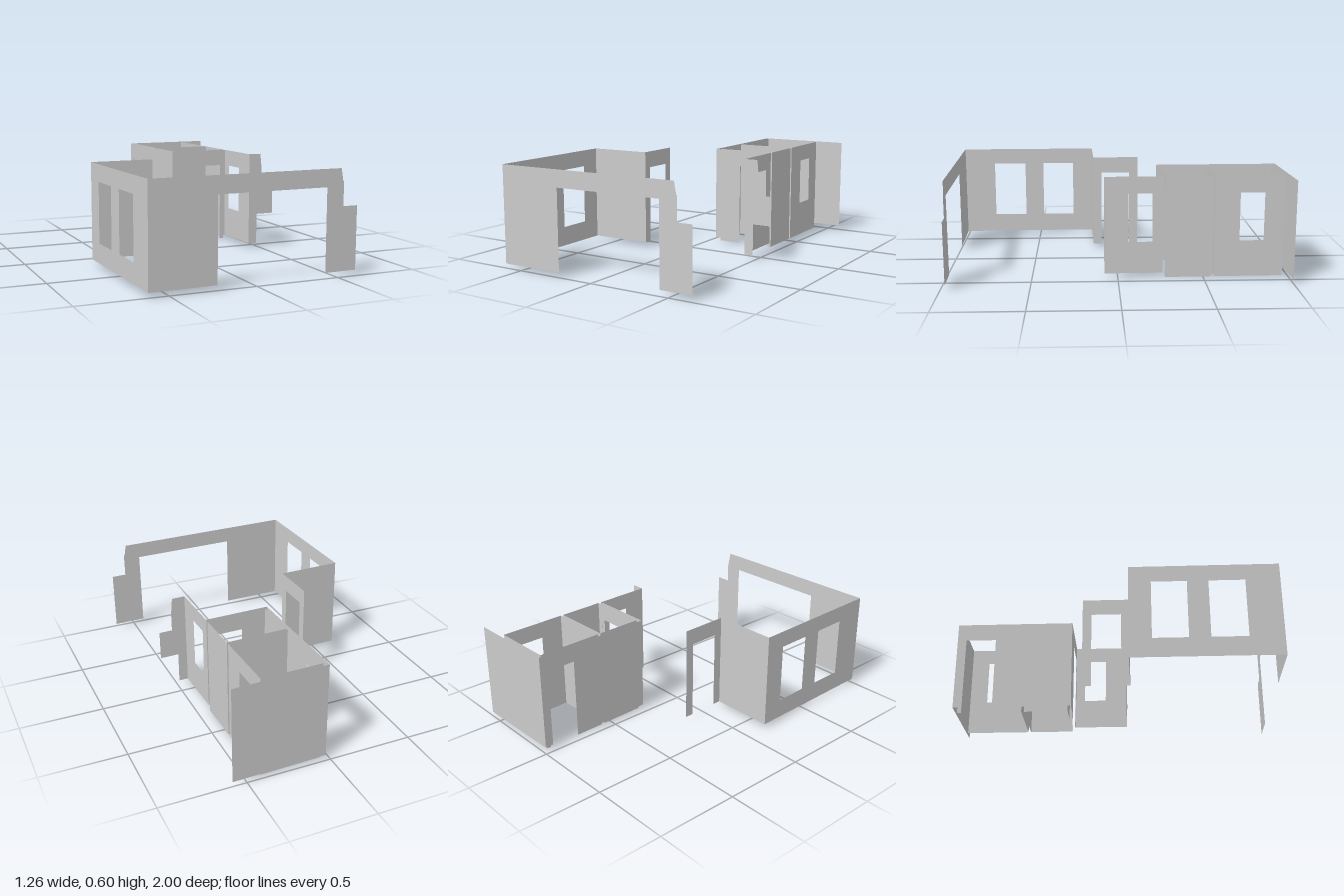
import * as THREE from 'three';

const BASE = 0.027, TOP = 0.6, HEAD = 0.5; // outer wall foot, wall top, door and window head

export function createModel() {
  const model = new THREE.Group();
  model.name = 'housePartitions';
  const material = new THREE.MeshStandardMaterial({ color: 0xcccccc, side: THREE.DoubleSide });

  // Thin panel from an outline; axis 'x' runs across at z = pos, axis 'z' runs deep at x = pos
  function panel(name, axis, pos, outline, windows = []) {
    const shape = new THREE.Shape(outline.map(([a, y]) => new THREE.Vector2(a, y)));
    for (const [a, b, sill] of windows) {
      shape.holes.push(new THREE.Path([[a, sill], [a, HEAD], [b, HEAD], [b, sill]]
        .map(([x, y]) => new THREE.Vector2(x, y))));
    }
    const mesh = new THREE.Mesh(new THREE.ShapeGeometry(shape), material);
    mesh.name = name;
    if (axis === 'x') mesh.position.z = pos;
    else { mesh.rotation.y = -Math.PI / 2; mesh.position.x = pos; }
    model.add(mesh);
  }

  // Rectangular wall with an optional floor-level doorway [from, to]
  function wall(name, axis, pos, from, to, { foot = BASE, door, windows } = {}) {
    const outline = [[from, foot]];
    if (door) outline.push([door[0], foot], [door[0], HEAD], [door[1], HEAD], [door[1], foot]);
    outline.push([to, foot], [to, TOP], [from, TOP]);
    panel(name, axis, pos, outline, windows);
  }

  // Front wall: wide opening and stepped right end
  panel('frontWall', 'x', 0.987, [
    [-0.634, BASE], [-0.247, BASE], [-0.247, HEAD], [0.412, HEAD], [0.412, BASE], [0.609, BASE],
    [0.609, 0.39], [0.519, 0.39], [0.519, 0.53], [0.514, 0.53], [0.501, TOP], [-0.634, TOP],
  ]);

  // Living room side with two tall windows, its rear wall and the hall doorway
  wall('livingRoomSideWall', 'z', -0.634, 0.127, 0.987,
    { windows: [[0.256, 0.46, 0.144], [0.582, 0.79, 0.144]] });
  wall('livingRoomRearWall', 'x', 0.127, -0.634, -0.251);
  wall('hallDoorWall', 'z', -0.251, -0.159, 0.127, { door: [-0.105, 0.075] });

  // Side bay: window wall and the stepped wing at its front end
  wall('bayWindowWall', 'z', 0.429, -0.252, 0.088, { windows: [[-0.191, -0.051, 0.215]] });
  panel('bayWing', 'x', 0.088, [
    [0.429, BASE], [0.485, BASE], [0.485, 0.215], [0.598, 0.215], [0.598, 0.39],
    [0.518, 0.39], [0.518, 0.5], [0.508, TOP], [0.429, TOP],
  ]);

  // Outer skin of the bedroom block
  const frontDoor = [0.206, 0.403], sideDoor = [-0.934, -0.739];
  wall('blockFrontWall', 'x', -0.248, 0.045, 0.429, { door: frontDoor });
  wall('blockSideWall', 'z', 0.045, -0.985, -0.248, { door: sideDoor });
  wall('blockBackWall', 'x', -0.985, 0.045, 0.604);

  // Two inner rooms, each a four-walled lining reaching the ground
  const rooms = [
    { name: 'frontRoom', front: -0.269, back: -0.541, frontDoor },
    { name: 'backRoom', front: -0.558, back: -0.959, sideDoor, windows: [[-0.846, -0.701, 0.215]] },
  ];
  for (const r of rooms) {
    wall(r.name + 'FrontWall', 'x', r.front, 0.068, 0.43, { foot: 0, door: r.frontDoor });
    wall(r.name + 'BackWall', 'x', r.back, 0.068, 0.43, { foot: 0 });
    wall(r.name + 'InnerSideWall', 'z', 0.068, r.back, r.front, { foot: 0, door: r.sideDoor });
    wall(r.name + 'OuterSideWall', 'z', 0.43, r.back, r.front, { foot: 0, windows: r.windows });
  }

  // The whole plan sits slightly turned
  model.rotation.y = 0.0215;
  const root = new THREE.Group();
  root.name = 'house';
  root.add(model);
  return root;
}
